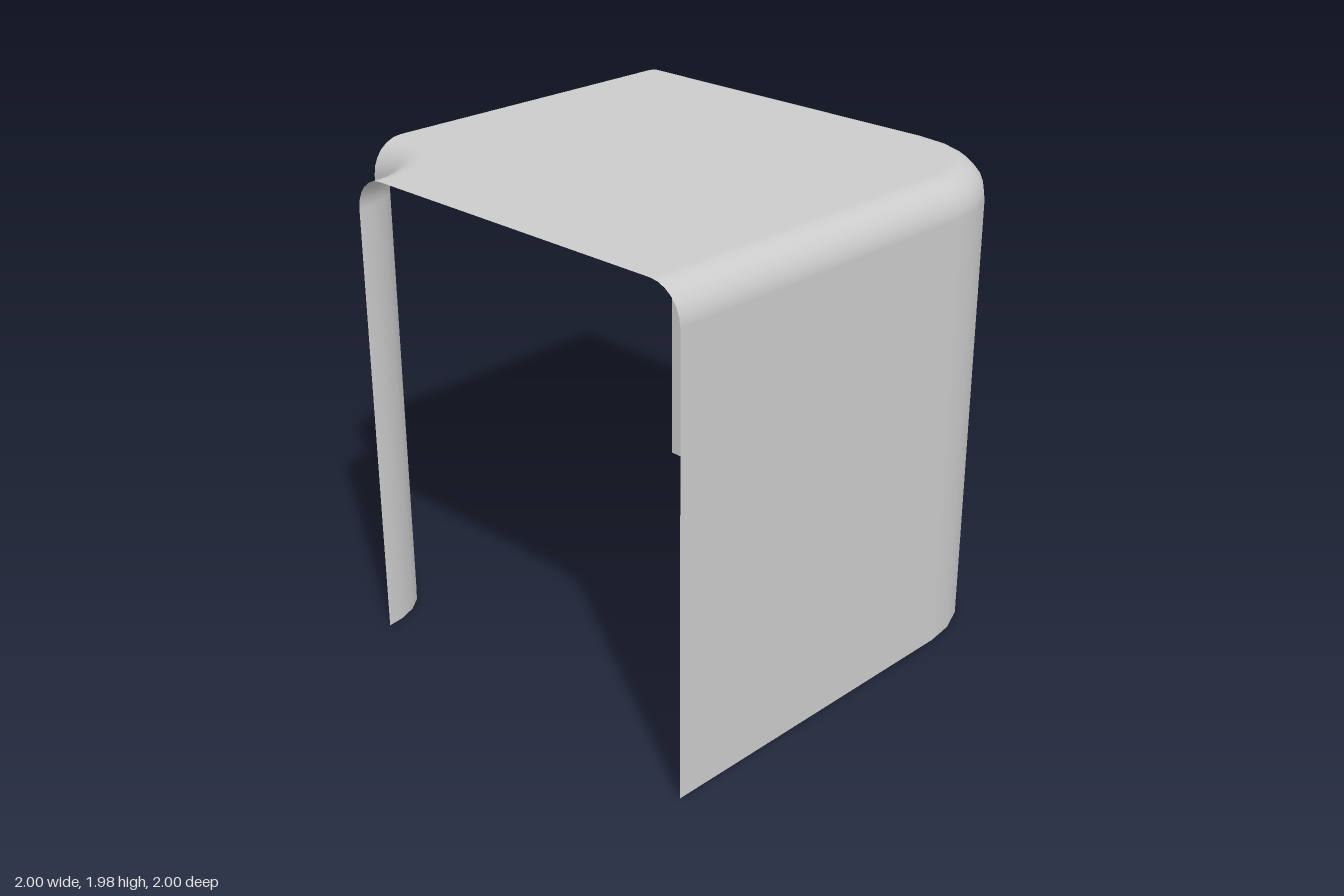
import * as THREE from 'three';

const HEIGHT = 1.98, FILLET = 0.14, STEPS = 6;
const material = new THREE.MeshStandardMaterial({ color: 0xcccccc, side: THREE.DoubleSide });

// Arc in plan; sign is +1 for a convex wall and -1 for a hollow one
function arc(cx, cz, r, from, to, sign) {
  return Array.from({ length: STEPS + 1 }, (_, i) => {
    const a = from + (to - from) * i / STEPS, c = Math.cos(a), s = Math.sin(a);
    return { x: cx + r * c, z: cz + r * s, nx: sign * c, nz: sign * s };
  });
}

// Plan paths with outward normals
const outerPath = [
  { x: -1, z: -1, nx: 0, nz: -1 },
  ...arc(0.5, -0.5, 0.5, -Math.PI / 2, 0, 1),
  { x: 1, z: 1, nx: 1, nz: 0 },
];
const legPath = arc(-1, 1, 0.3, 0, -Math.PI / 2, -1);

// Upright wall that rolls inward into the top
const profile = [{ inset: 0, y: 0, out: 1, up: 0 }];
for (let i = 0; i <= STEPS; i++) {
  const a = i / STEPS * Math.PI / 2, out = Math.cos(a), up = Math.sin(a);
  profile.push({ inset: FILLET * (1 - out), y: HEIGHT - FILLET * (1 - up), out, up });
}

function wall(path, name) {
  const positions = [], normals = [], index = [], rows = profile.length;
  path.forEach((p, i) => profile.forEach((q, j) => {
    positions.push(p.x - p.nx * q.inset, q.y, p.z - p.nz * q.inset);
    normals.push(p.nx * q.out, q.up, p.nz * q.out);
    if (i < path.length - 1 && j < rows - 1) {
      const a = i * rows + j, b = a + rows;
      index.push(a, a + 1, b, b, a + 1, b + 1);
    }
  }));
  const geometry = new THREE.BufferGeometry();
  geometry.setAttribute('position', new THREE.Float32BufferAttribute(positions, 3));
  geometry.setAttribute('normal', new THREE.Float32BufferAttribute(normals, 3));
  geometry.setIndex(index);
  const mesh = new THREE.Mesh(geometry, material);
  mesh.name = name;
  return mesh;
}

export function createModel() {
  const group = new THREE.Group();
  group.name = 'cornerShell';
  group.add(wall(outerPath, 'outerWall'), wall(legPath, 'hollowCornerLeg'));

  // Flat top inside the rolled edges
  const outline = [...outerPath, ...legPath].map(
    (p) => new THREE.Vector2(p.x - p.nx * FILLET, -(p.z - p.nz * FILLET)));
  const geometry = new THREE.ShapeGeometry(new THREE.Shape(outline));
  geometry.rotateX(-Math.PI / 2).translate(0, HEIGHT, 0);
  const top = new THREE.Mesh(geometry, material);
  top.name = 'top';
  group.add(top);
  return group;
}
